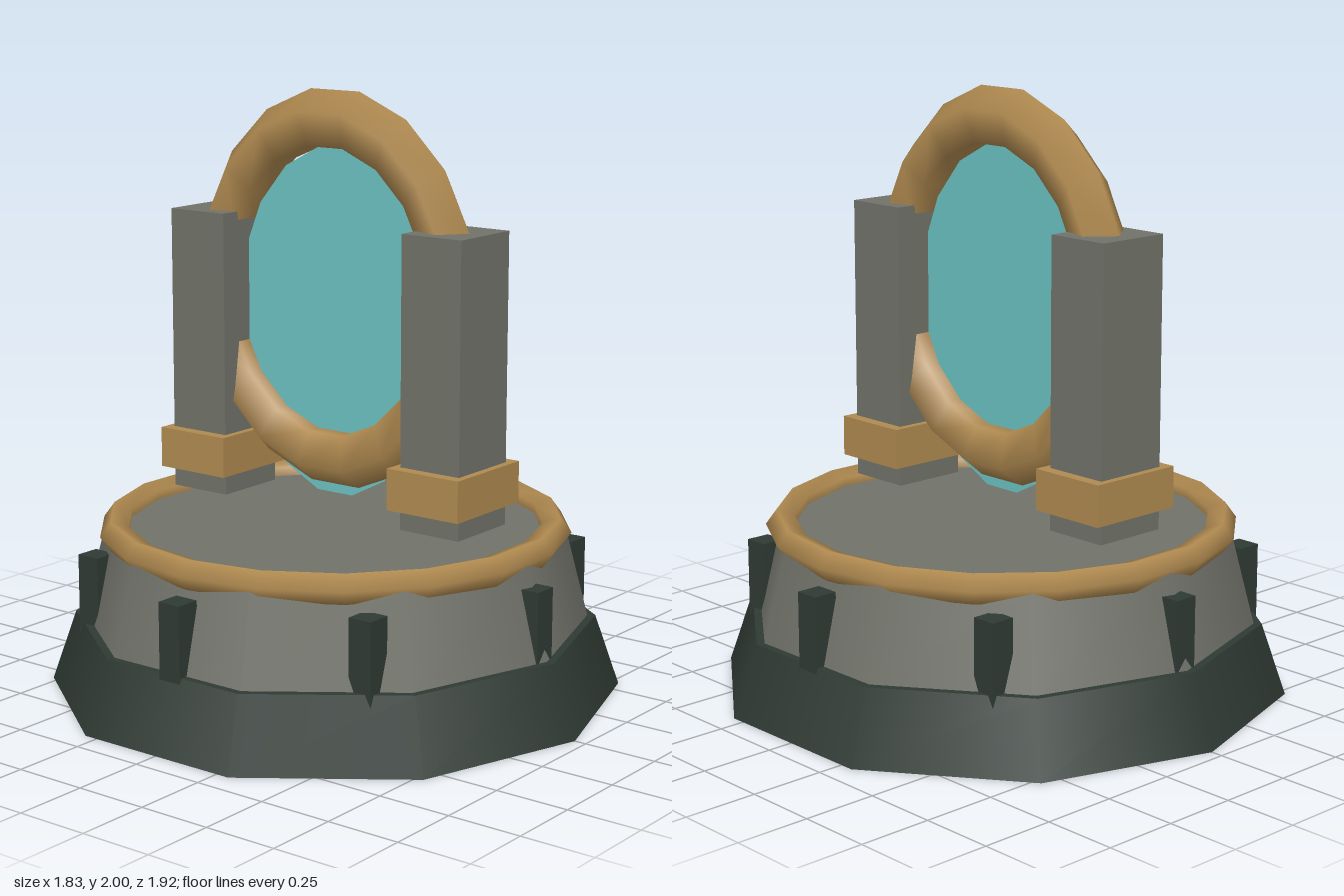
import * as THREE from 'three';

const material = (name, color) => {
  const m = new THREE.MeshStandardMaterial({ color });
  m.name = name;
  return m;
};

export function createModel() {
  const model = new THREE.Group();
  model.name = 'portalShrine';
  const stone = material('stone', 0x71736a);
  const darkStone = material('darkStone', 0x2f3a34);
  const brass = material('brass', 0xb08a50);
  const portalBlue = material('portalBlue', 0x6cc2c2);
  portalBlue.side = THREE.DoubleSide;

  const add = (name, geometry, mat, x = 0, y = 0, z = 0) => {
    const mesh = new THREE.Mesh(geometry, mat);
    mesh.name = name;
    mesh.position.set(x, y, z);
    model.add(mesh);
    return mesh;
  };

  // Two tapered ten-sided tiers
  add('basePlinth', new THREE.CylinderGeometry(0.877, 0.96, 0.24, 10), darkStone, 0, 0.12);
  add('upperTier', new THREE.CylinderGeometry(0.77, 0.85, 0.31, 10), stone, 0, 0.395);

  // Brass rim around the platform
  const rim = add('platformRim', new THREE.TorusGeometry(0.737, 0.0526, 5, 18), brass, 0, 0.55);
  rim.rotation.x = Math.PI / 2;

  // Eight square studs, all aligned to the axes
  const studGeometry = new THREE.BoxGeometry(0.084, 0.275, 0.084);
  for (let i = 0; i < 8; i++) {
    const a = (i * Math.PI) / 4;
    add('stud', studGeometry, darkStone, 0.798 * Math.sin(a), 0.3375, 0.798 * Math.cos(a));
  }

  // Front and back pillars with brass collars
  const pillarGeometry = new THREE.BoxGeometry(0.264, 0.96, 0.228);
  const collarGeometry = new THREE.BoxGeometry(0.344, 0.137, 0.277);
  for (const side of [1, -1]) {
    const prefix = side > 0 ? 'front' : 'back';
    add(prefix + 'Pillar', pillarGeometry, stone, 0, 1.1, 0.48 * side);
    add(prefix + 'Collar', collarGeometry, brass, 0, 0.759, 0.48 * side);
  }

  // Upright oval ring, facing the sides
  const ring = add('portalRing', new THREE.TorusGeometry(0.563, 0.102, 5, 18), brass, 0, 1.345);
  ring.scale.set(0.857, 1, 0.92);
  ring.rotation.y = Math.PI / 2;

  // Flat oval sheet, set slightly lower than the ring
  const sheet = add('portalSheet', new THREE.CircleGeometry(1, 18), portalBlue, 0, 1.235);
  sheet.scale.set(0.41, 0.584, 1);
  sheet.rotation.y = Math.PI / 2;

  return model;
}
